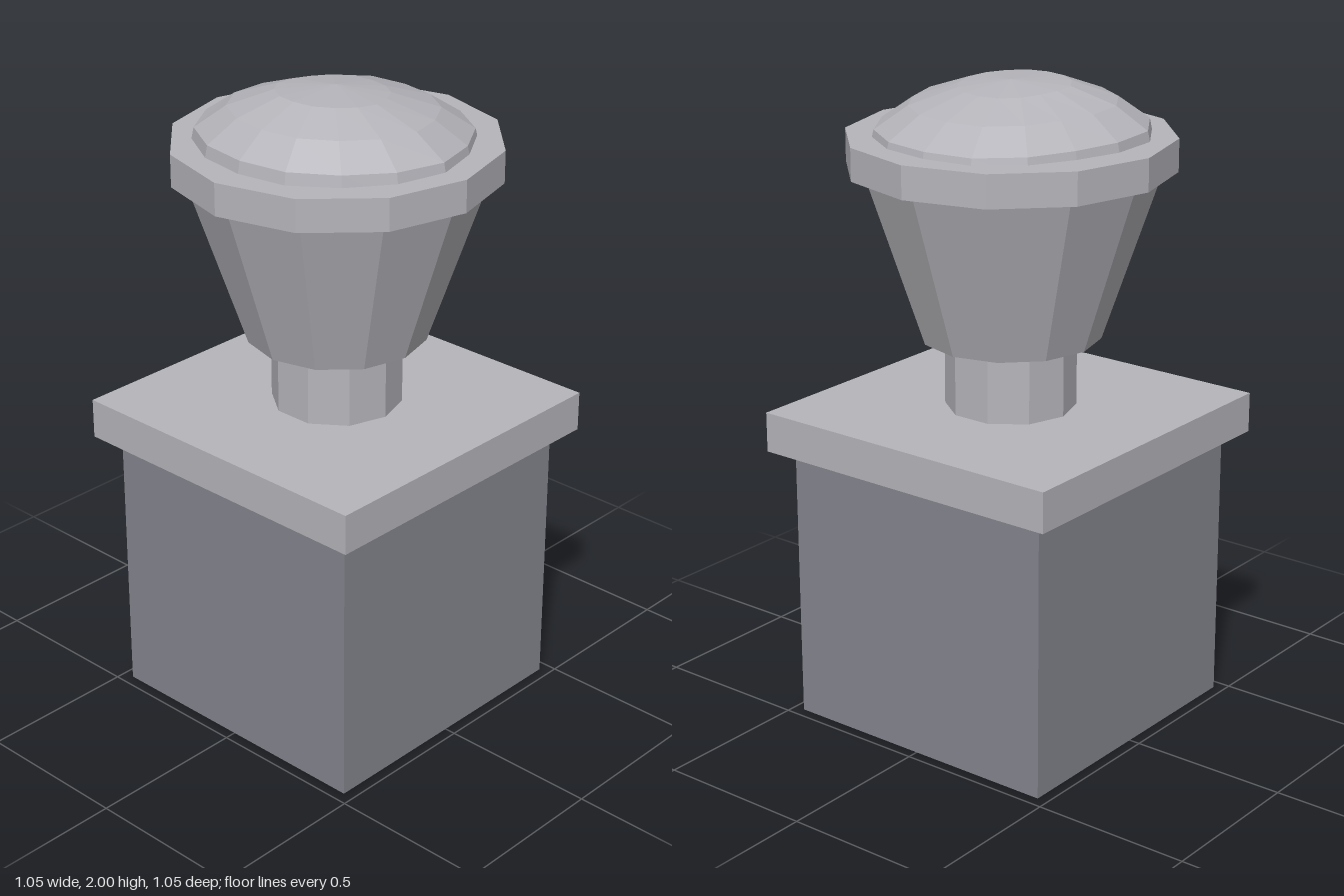
import * as THREE from 'three';

export function createModel() {
  const model = new THREE.Group();
  model.name = 'pedestalUrn';

  const mat = (name, color) => {
    const m = new THREE.MeshStandardMaterial({ color, flatShading: true });
    m.name = name;
    return m;
  };
  const darkStone = mat('darkStone', 0x84848e);
  const paleStone = mat('paleStone', 0xb4b4ba);

  const add = (name, geometry, material, y = 0) => {
    const mesh = new THREE.Mesh(geometry, material);
    mesh.name = name;
    mesh.position.y = y;
    model.add(mesh);
  };
  const box = (name, width, y0, y1, material) =>
    add(name, new THREE.BoxGeometry(width, y1 - y0, width), material, (y0 + y1) / 2);
  const drum = (name, rTop, rBottom, y0, y1, sides) =>
    add(name, new THREE.CylinderGeometry(rTop, rBottom, y1 - y0, sides), paleStone, (y0 + y1) / 2);

  // Square pedestal and its overhanging cap
  box('pedestal', 0.93, 0, 0.875, darkStone);
  box('pedestalCap', 1.05, 0.875, 1, paleStone);

  // Stem, flared bowl and rim
  drum('stem', 0.2, 0.2, 1, 1.22, 10);
  drum('bowl', 0.45, 0.275, 1.22, 1.74, 12);
  drum('rim', 0.495, 0.495, 1.74, 1.84, 12);

  // Rough mound: a low dome with an uneven outline, slightly higher on the -x side
  const outline = [0.425, 0.412, 0.417, 0.415, 0.41, 0.42, 0.403, 0.385,
    0.4, 0.426, 0.428, 0.417, 0.41, 0.415, 0.41, 0.417];
  const profile = [[1, 1.8], [0.965, 1.868], [0.735, 1.935], [0.4, 1.984], [0, 2]];
  const mound = new THREE.LatheGeometry(profile.map(([r, y]) => new THREE.Vector2(r, y)), outline.length);
  const p = mound.attributes.position;
  for (let i = 0; i < p.count; i++) {
    const ring = i % profile.length;
    const r = outline[Math.floor(i / profile.length) % outline.length];
    const lean = ring === 3 ? 0.015 : ring === 2 ? 0.006 : 0;
    const lift = ring > 0 ? 0.009 * p.getX(i) / (profile[ring][0] || 1) : 0;
    p.setXYZ(i, p.getX(i) * r - lean, p.getY(i) - lift, p.getZ(i) * r);
  }
  mound.computeVertexNormals();
  add('mound', mound, paleStone);

  return model;
}
